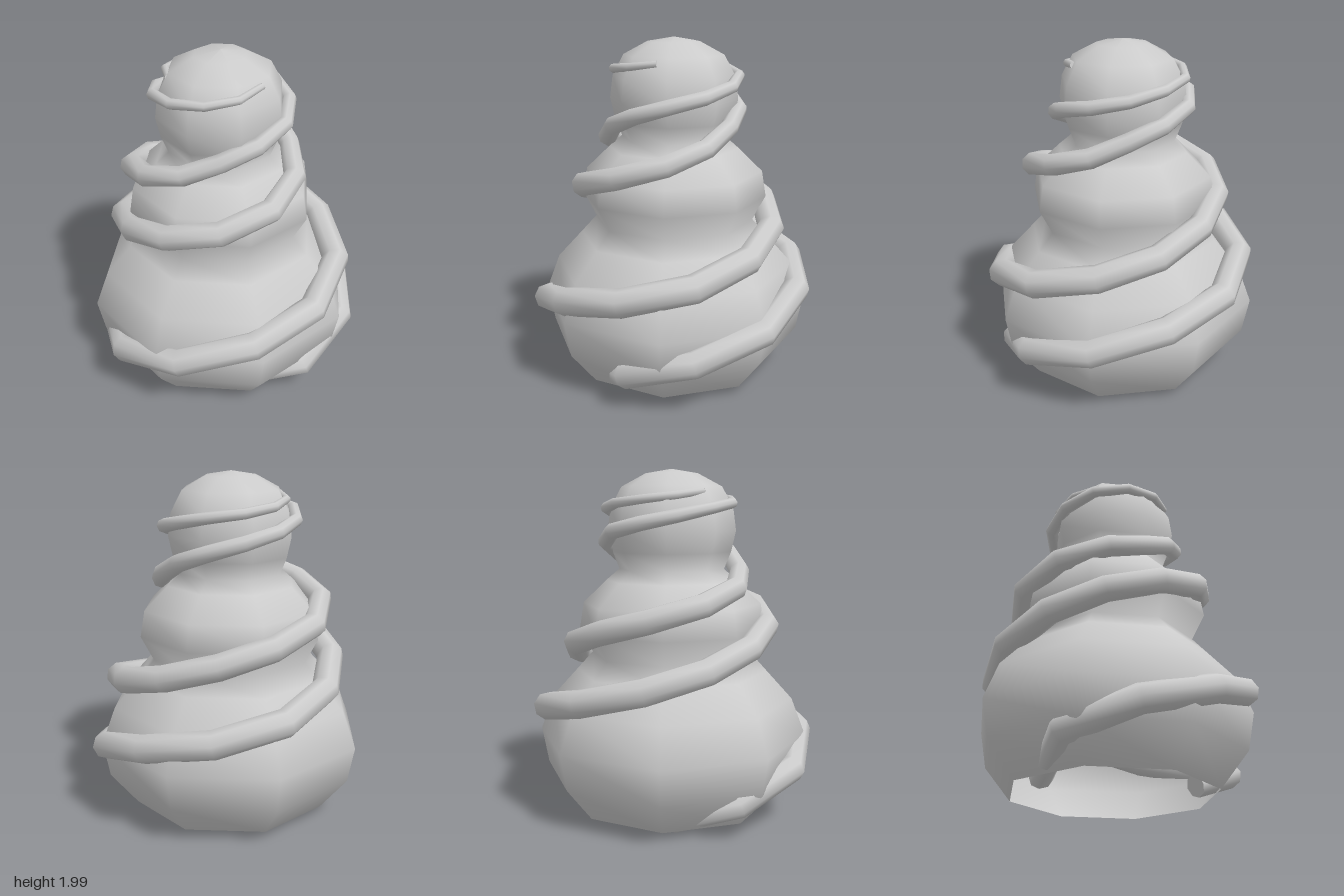
import * as THREE from 'three';

const CX = -0.03, CZ = -0.025, TURN = 756;
const grey = () => new THREE.MeshStandardMaterial({ color: 0xcccccc, side: THREE.DoubleSide });

// Tapering vine path: [angle in degrees, radius from axis, height, thickness]
const PATH = [
  [0, 0.46, 0.065, 0.062], [30, 0.675, 0.2, 0.074], [60, 0.75, 0.32, 0.078], [90, 0.772, 0.43, 0.08],
  [120, 0.755, 0.55, 0.081], [180, 0.72, 0.715, 0.081], [210, 0.653, 0.8, 0.08], [270, 0.565, 0.98, 0.076],
  [300, 0.555, 1.07, 0.074], [360, 0.55, 1.225, 0.07], [390, 0.5, 1.3, 0.067], [450, 0.375, 1.44, 0.057],
  [480, 0.368, 1.54, 0.052], [540, 0.39, 1.66, 0.044], [570, 0.38, 1.7, 0.041], [630, 0.375, 1.78, 0.033],
  [660, 0.368, 1.805, 0.03], [720, 0.325, 1.845, 0.024], [TURN, 0.285, 1.87, 0.02],
];

function sample(deg) {
  let i = 0;
  while (i < PATH.length - 2 && deg > PATH[i + 1][0]) i++;
  const a = PATH[i], b = PATH[i + 1], f = (deg - a[0]) / (b[0] - a[0]);
  return a.map((v, k) => v + (b[k] - v) * f);
}

class VineCurve extends THREE.Curve {
  constructor(offset) {
    super();
    this.offset = offset;
  }
  getPoint(t, target = new THREE.Vector3()) {
    const [deg, r, y] = sample(t * TURN);
    const a = THREE.MathUtils.degToRad(deg + this.offset);
    return target.set(CX + r * Math.sin(a), y, CZ + r * Math.cos(a));
  }
  // keep rings evenly spaced by angle
  getUtoTmapping(u) { return u; }
  getTangent(t, target = new THREE.Vector3()) {
    const d = 0.012;
    return target.subVectors(this.getPoint(Math.min(1, t + d)), this.getPoint(Math.max(0, t - d))).normalize();
  }
}

function vine(name, offset) {
  const steps = 24, sides = 8;
  const group = new THREE.Group();
  group.name = name;
  const curve = new VineCurve(offset);
  const geo = new THREE.TubeGeometry(curve, steps, 1, sides, false);
  const pos = geo.attributes.position, v = new THREE.Vector3();
  // shrink each ring to its own thickness
  for (let i = 0; i < pos.count; i++) {
    const t = Math.floor(i / (sides + 1)) / steps;
    const c = curve.getPoint(t);
    v.fromBufferAttribute(pos, i).sub(c).multiplyScalar(sample(t * TURN)[3]).add(c);
    pos.setXYZ(i, v.x, v.y, v.z);
  }
  const stem = new THREE.Mesh(geo, grey());
  stem.name = 'vineStem';
  group.add(stem);
  // end caps
  for (const t of [0, 1]) {
    const cap = new THREE.Mesh(new THREE.CircleGeometry(sample(t * TURN)[3], sides), grey());
    cap.name = 'vineEnd';
    const c = curve.getPoint(t), dir = curve.getTangent(t).multiplyScalar(t ? 1 : -1);
    cap.position.copy(c);
    cap.lookAt(c.clone().add(dir));
    group.add(cap);
  }
  return group;
}

export function createModel() {
  const model = new THREE.Group();
  model.name = 'wrappedStack';

  // three stacked balls in one eight-sided shell, open underneath
  const profile = [
    [0.59, 0.05], [0.75, 0.25], [0.79, 0.46], [0.71, 0.67], [0.56, 0.835], [0.47, 0.935],
    [0.545, 1.08], [0.52, 1.23], [0.38, 1.365], [0.305, 1.43],
    [0.345, 1.53], [0.372, 1.65], [0.355, 1.78], [0.29, 1.9], [0.15, 1.975], [0, 2],
  ];
  const body = new THREE.Mesh(
    new THREE.LatheGeometry(profile.map(([r, y]) => new THREE.Vector2(r, y)), 8), grey());
  body.name = 'stackedBalls';
  body.position.set(CX, 0, CZ);
  model.add(body);

  // two vines winding up around the balls
  model.add(vine('firstVine', -4), vine('secondVine', -129.5));
  return model;
}
